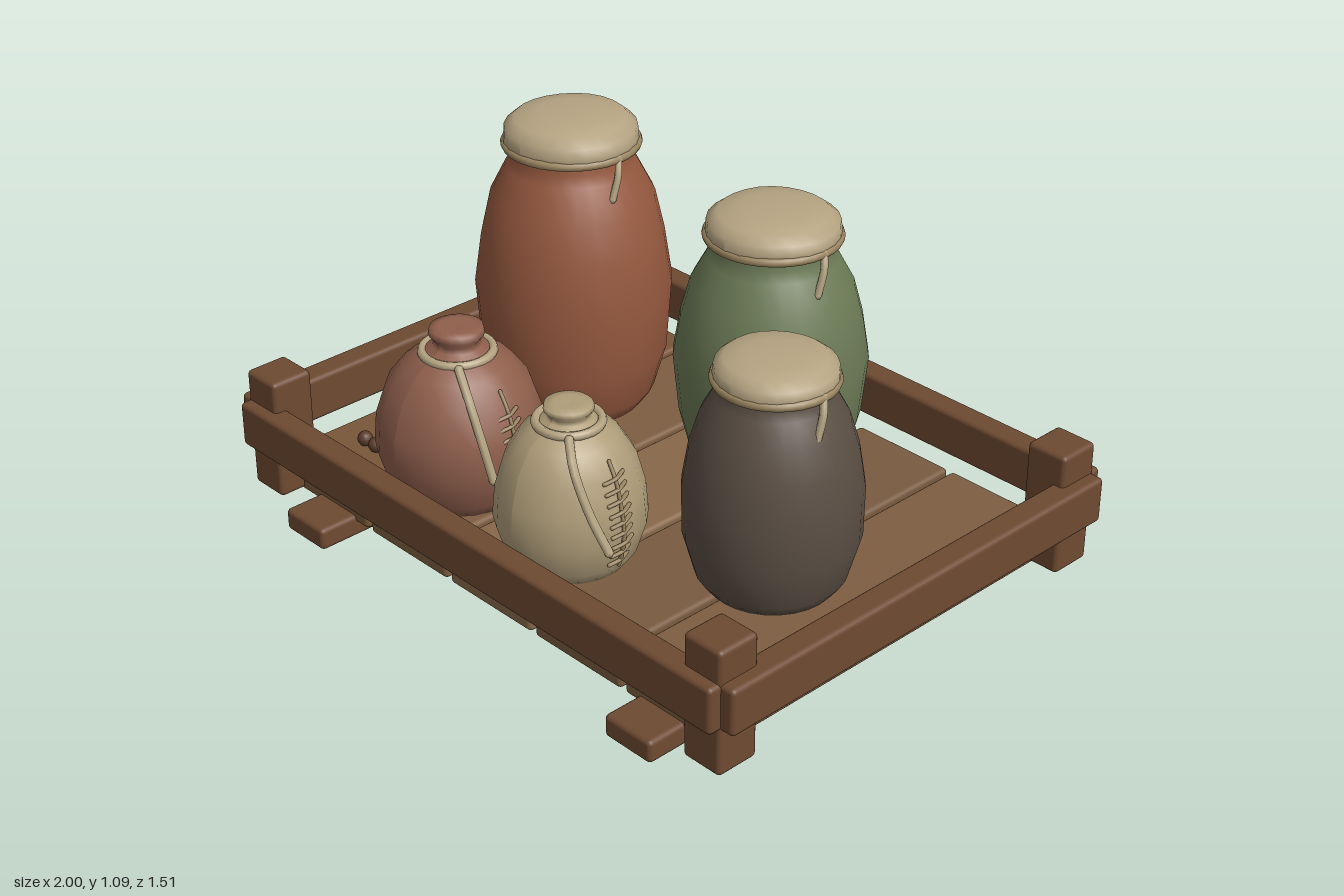
import * as THREE from 'three';
import { RoundedBoxGeometry } from 'three/addons/geometries/RoundedBoxGeometry.js';

const mat = (color) => new THREE.MeshStandardMaterial({ color });
const wood = mat(0x6e4a32);
const cloth = mat(0xb5a482);
const cord = mat(0x9a8560);
const bead = mat(0x5a3a2a);

function add(parent, name, geometry, material, x = 0, y = 0, z = 0) {
  const mesh = new THREE.Mesh(geometry, material);
  mesh.name = name;
  mesh.position.set(x, y, z);
  parent.add(mesh);
  return mesh;
}

// Box with softened edges, given by its size and centre
function beam(parent, name, size, centre, material = wood) {
  return add(parent, name, new RoundedBoxGeometry(...size, 2, 0.014), material, ...centre);
}

const lathe = (profile, sides) =>
  new THREE.LatheGeometry(profile.map(([r, y]) => new THREE.Vector2(r, y)), sides);

// Gentle hand-made unevenness, a function of angle and height only
function makeUneven(geometry, amount, seed) {
  const p = geometry.attributes.position;
  for (let i = 0; i < p.count; i++) {
    const x = p.getX(i), y = p.getY(i), z = p.getZ(i);
    const a = Math.atan2(z, x);
    const k = 1 + amount * (Math.sin(3 * a + seed) + 0.6 * Math.sin(5 * a + seed * 2 + y * 9));
    p.setX(i, x * k);
    p.setZ(i, z * k);
  }
  geometry.computeVertexNormals();
  // Share normals across the lathe seam
  return geometry;
}

function tube(parent, name, points, radius, material) {
  const curve = new THREE.CatmullRomCurve3(points.map((p) => new THREE.Vector3(...p)));
  add(parent, name, new THREE.TubeGeometry(curve, 10, radius, 6), material);
  for (const end of [points[0], points[points.length - 1]]) {
    add(parent, name + 'End', new THREE.SphereGeometry(radius, 6, 4), material, ...end);
  }
}

function ring(parent, name, radius, thickness, y, material) {
  const mesh = add(parent, name, new THREE.TorusGeometry(radius, thickness, 8, 32), material, 0, y, 0);
  mesh.rotation.x = Math.PI / 2;
}

// Radius of a profile at a height
function radiusAt(profile, y) {
  for (let i = 1; i < profile.length; i++) {
    const [r0, y0] = profile[i - 1], [r1, y1] = profile[i];
    if (y >= y0 && y <= y1 && y1 > y0) return r0 + ((r1 - r0) * (y - y0)) / (y1 - y0);
  }
  return 0;
}

// Tall storage jar with a cloth cover tied round the neck
function coveredJar({ name, x, z, color, body, rim, rimY, top, seed }) {
  const jar = new THREE.Group();
  jar.name = name;
  jar.position.set(x, 0, z);
  add(jar, 'body', lathe([[0, 0.18], ...body], 28), mat(color));
  const h = top - rimY;
  const cover = [
    [rim * 0.84, rimY - 0.02], [rim * 0.98, rimY - 0.01], [rim * 0.96, rimY + h * 0.2],
    [rim * 0.95, rimY + h * 0.55], [rim * 0.8, rimY + h * 0.85], [rim * 0.48, top], [0, top],
  ];
  add(jar, 'clothCover', makeUneven(lathe(cover, 24), 0.008, seed), cloth);
  ring(jar, 'neckCord', rim - 0.011, 0.013, rimY - 0.003, cord);
  // Loose end of the cord
  tube(jar, 'cordTail', [
    [rim - 0.01, rimY, -0.005], [rim + 0.004, rimY - 0.04, 0.008], [rim + 0.006, rimY - 0.11, 0.032],
  ], 0.011, cloth);
  return jar;
}

// Squat flask with a flared neck, stitched seam and hanging strap
function flask({ name, x, z, color, body, ringR, ringY, strap, seed }) {
  const group = new THREE.Group();
  group.name = name;
  group.position.set(x, 0, z);
  add(group, 'body', makeUneven(lathe([[0, 0.18], ...body], 18), 0.012, seed), mat(color));
  ring(group, 'neckRing', ringR, 0.013, ringY, cloth);

  const seam = [];
  for (let i = 0; i <= 6; i++) {
    const y = 0.24 + (i * (ringY - 0.3)) / 6;
    seam.push([radiusAt(body, y) + 0.004, y, 0]);
  }
  tube(group, 'seam', seam, 0.006, cord);
  for (let i = 0; i < 9; i++) {
    const y = 0.26 + i * 0.03;
    const r = radiusAt(body, y) + 0.004;
    tube(group, 'stitch', [[r - 0.006, y - 0.008, 0.034], [r + 0.002, y, 0], [r - 0.006, y + 0.008, -0.03]], 0.006, cord);
  }
  tube(group, 'strap', strap, 0.014, cloth);
  return group;
}

export function createModel() {
  const model = new THREE.Group();
  model.name = 'jarTray';

  // Floor planks
  const tray = new THREE.Group();
  tray.name = 'tray';
  model.add(tray);
  const plankColors = [0x785739, 0x7d5d40, 0x876849, 0x785a3f, 0x7d5d40];
  plankColors.forEach((c, i) =>
    beam(tray, 'plank', [0.335, 0.135, 1.27], [(i - 2) * 0.35, 0.112, 0], mat(c)));

  // Runners, rails and corner posts
  for (const s of [-1, 1]) {
    beam(tray, 'runner', [0.17, 0.068, 1.51], [s * 0.67, 0.034, 0]);
    beam(tray, 'longRail', [1.91, 0.138, 0.076], [0, 0.26, s * 0.709]);
    beam(tray, 'sideRail', [0.082, 0.138, 1.42], [s * 0.957, 0.26, 0]);
    for (const t of [-1, 1]) {
      beam(tray, 'cornerPost', [0.13, 0.37, 0.132], [s * 0.892, 0.237, t * 0.648]);
    }
  }

  // Covered jars
  model.add(coveredJar({
    name: 'tallJar', x: -0.535, z: -0.16, color: 0x96593f, rim: 0.2, rimY: 1.005, top: 1.09, seed: 1,
    body: [[0.2, 0.18], [0.235, 0.23], [0.272, 0.36], [0.287, 0.57], [0.265, 0.72], [0.238, 0.84],
      [0.19, 0.935], [0.172, 0.965], [0.172, 1.02]],
  }));
  model.add(coveredJar({
    name: 'mediumJar', x: 0.115, z: -0.315, color: 0x6c7b56, rim: 0.195, rimY: 0.89, top: 0.965, seed: 2.6,
    body: [[0.195, 0.18], [0.225, 0.22], [0.258, 0.35], [0.275, 0.52], [0.255, 0.64], [0.228, 0.74],
      [0.185, 0.82], [0.168, 0.85], [0.168, 0.9]],
  }));
  model.add(coveredJar({
    name: 'shortJar', x: 0.562, z: 0.132, color: 0x5b4f44, rim: 0.17, rimY: 0.795, top: 0.86, seed: 4.1,
    body: [[0.175, 0.18], [0.205, 0.22], [0.238, 0.34], [0.24, 0.48], [0.222, 0.59], [0.195, 0.68],
      [0.16, 0.745], [0.145, 0.77], [0.145, 0.81]],
  }));

  // Small flasks
  model.add(flask({
    name: 'redFlask', x: -0.355, z: 0.425, color: 0x8f5f4c, ringR: 0.098, ringY: 0.617, seed: 0.8,
    body: [[0.16, 0.18], [0.205, 0.23], [0.237, 0.34], [0.23, 0.43], [0.2, 0.52], [0.15, 0.585],
      [0.1, 0.618], [0.068, 0.635], [0.062, 0.65], [0.078, 0.67], [0.074, 0.688], [0.05, 0.692], [0, 0.688]],
    strap: [[0.09, 0.615, 0.07], [0.16, 0.555, 0.095], [0.215, 0.45, 0.1], [0.25, 0.35, 0.095]],
  }));
  model.add(flask({
    name: 'paleFlask', x: 0.115, z: 0.44, color: 0xaf9d79, ringR: 0.088, ringY: 0.6, seed: 3.3,
    body: [[0.145, 0.18], [0.18, 0.225], [0.208, 0.32], [0.2, 0.41], [0.175, 0.5], [0.135, 0.565],
      [0.09, 0.598], [0.06, 0.612], [0.056, 0.622], [0.068, 0.637], [0.066, 0.65], [0.04, 0.654], [0, 0.65]],
    strap: [[0.08, 0.6, 0.07], [0.135, 0.55, 0.105], [0.195, 0.44, 0.105], [0.25, 0.345, 0.09]],
  }));

  // Row of loose beads on the floor
  for (let i = 0; i < 4; i++) {
    add(model, 'bead', new THREE.SphereGeometry(0.023, 12, 8), bead, -0.727 + i * 0.05, 0.2, 0.482);
  }
  return model;
}
